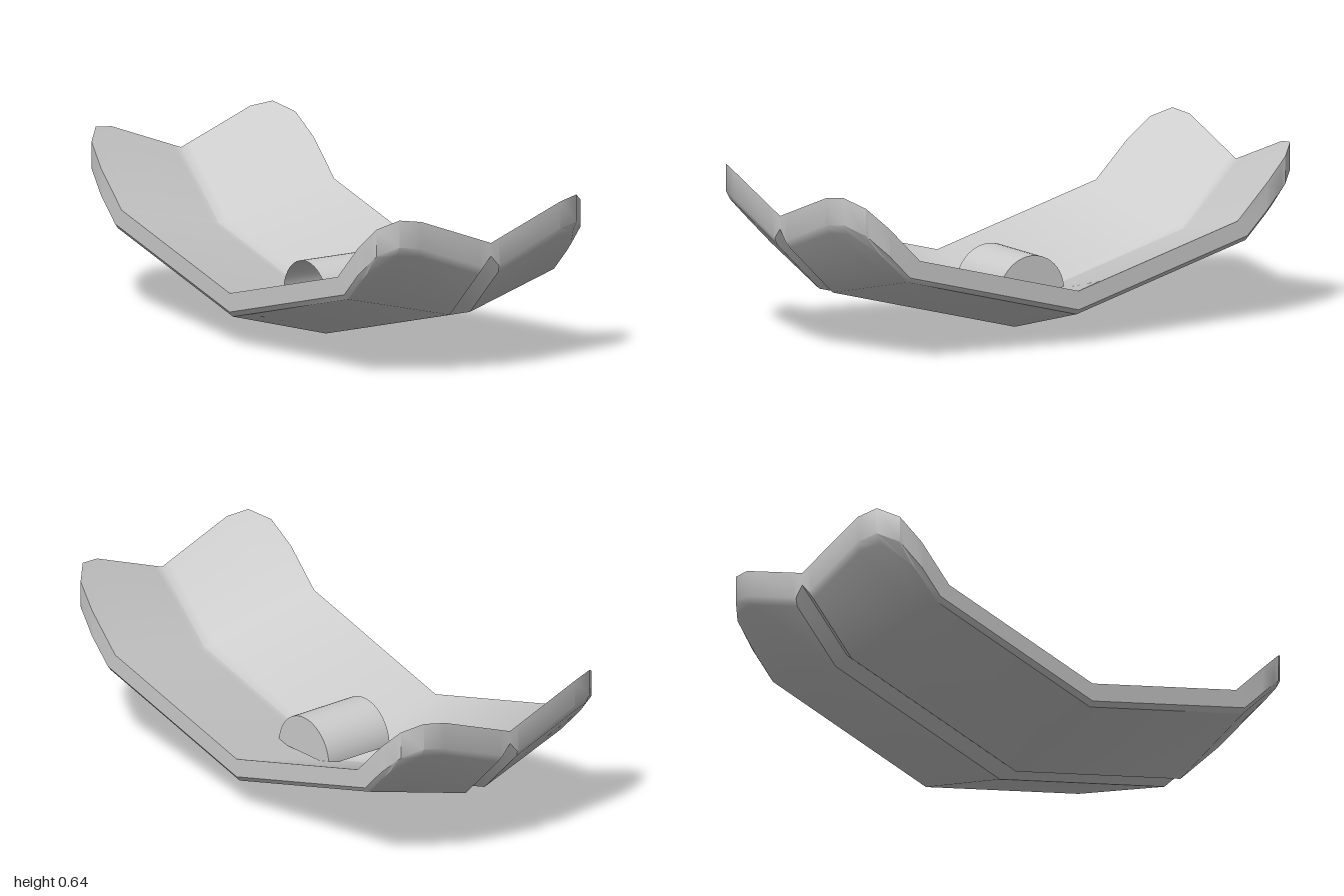
import * as THREE from 'three';
import { toCreasedNormals } from 'three/addons/utils/BufferGeometryUtils.js';

const T15 = Math.tan(Math.PI / 12), C15 = Math.cos(Math.PI / 12), C45 = Math.SQRT1_2;
const DROP = 0.585; // where the 45 degree ends meet the 15 degree middle
const CHAMFER = 0.015, GROOVE = 0.045;

// Height of a layer at offset v from the bent centre line
const height = (v, z) =>
  Math.max(v / C15 + T15 * Math.abs(z), v / C45 + Math.abs(z) - DROP);
// z of the mitred bend for a layer
const bend = (v) => (DROP - v * (1 / C45 - 1 / C15)) / (1 - T15);

// Half of the stations across the width:
// [x, outline z, inset z of the underside, chamfer height, underside lift]
const half = [
  [0, 1, 1, 0, 0],
  [0.035, 1, 1, 0, 0],
  [GROOVE, 1, 0.985, CHAMFER, 0],
  [0.31, 1, 0.984, CHAMFER, 0],
  [0.395, 0.98, 0.96, CHAMFER, 0],
  [0.455, 0.92, 0.86, CHAMFER, 0],
  [0.46, 0.898, 0.825, CHAMFER, 0],
  [0.475, 0.83, 0.825, CHAMFER, CHAMFER],
];

// Closed lengthwise section of the plate at one station
function section([x, zOut, zIn, chamfer, lift]) {
  const ax = Math.abs(x);
  const top = 0.0706 + T15 * ax;
  const low = ax < GROOVE ? 0.8 * (GROOVE - ax) : T15 * (ax - GROOVE);
  const tb = bend(top), lb = bend(low);
  return [
    ...[zOut, tb, 0, -tb, -zOut].map((z) => [x, height(top, z), z]),
    [x, height(low, zOut) + chamfer, -zOut],
    ...[-zIn, -lb, 0, lb, zIn].map((z) => [x, height(low, z) + lift, z]),
    [x, height(low, zOut) + chamfer, zOut],
  ];
}

function plateGeometry() {
  const mirrored = half.slice(1).reverse().map(([x, ...rest]) => [-x, ...rest]);
  const loops = [...mirrored, ...half].map(section);
  const n = loops[0].length, last = loops.length - 1;
  const index = [];
  for (let k = 0; k < last; k++) {
    for (let i = 0; i < n; i++) {
      const j = (i + 1) % n, a = k * n, c = a + n;
      index.push(a + i, c + i, a + j, c + i, c + j, a + j);
    }
  }
  // Long side walls
  const wall = (base, flip) => {
    const tri = (a, b, c) =>
      index.push(base + a, base + (flip ? c : b), base + (flip ? b : c));
    for (let i = 0; i < 4; i++) {
      tri(i, 10 - i, 9 - i);
      tri(i, 9 - i, i + 1);
    }
    tri(0, 11, 10);
    tri(4, 6, 5);
  };
  wall(last * n, false);
  wall(0, true);

  const g = new THREE.BufferGeometry();
  g.setAttribute('position', new THREE.Float32BufferAttribute(loops.flat(2), 3));
  g.setIndex(index);
  return toCreasedNormals(g, 0.56);
}

export function createModel() {
  const group = new THREE.Group();
  group.name = 'bentPlate';
  const material = new THREE.MeshStandardMaterial({ color: 0xcccccc });
  const thin = new THREE.MeshStandardMaterial({ color: 0xcccccc, side: THREE.DoubleSide });

  // Bent, grooved and chamfered plate
  const plate = new THREE.Mesh(plateGeometry(), material);
  plate.name = 'plate';
  group.add(plate);

  // Half-round hoop, closed at its left end only
  const hoop = new THREE.Group();
  hoop.name = 'hoop';
  hoop.position.set(0.01, 0.141, -0.002);
  const R = 0.143, L = 0.29;
  const shellGeo = new THREE.CylinderGeometry(R, R, L, 24, 1, true, 0, Math.PI);
  shellGeo.rotateZ(Math.PI / 2); // arch faces up, axis along x
  const shell = new THREE.Mesh(shellGeo, thin);
  shell.name = 'hoopShell';
  const capGeo = new THREE.CircleGeometry(R, 24, 0, Math.PI);
  capGeo.rotateY(Math.PI / 2);
  const cap = new THREE.Mesh(capGeo, material);
  cap.name = 'hoopCap';
  cap.position.x = L / 2;
  hoop.add(shell, cap);
  group.add(hoop);
  return group;
}
